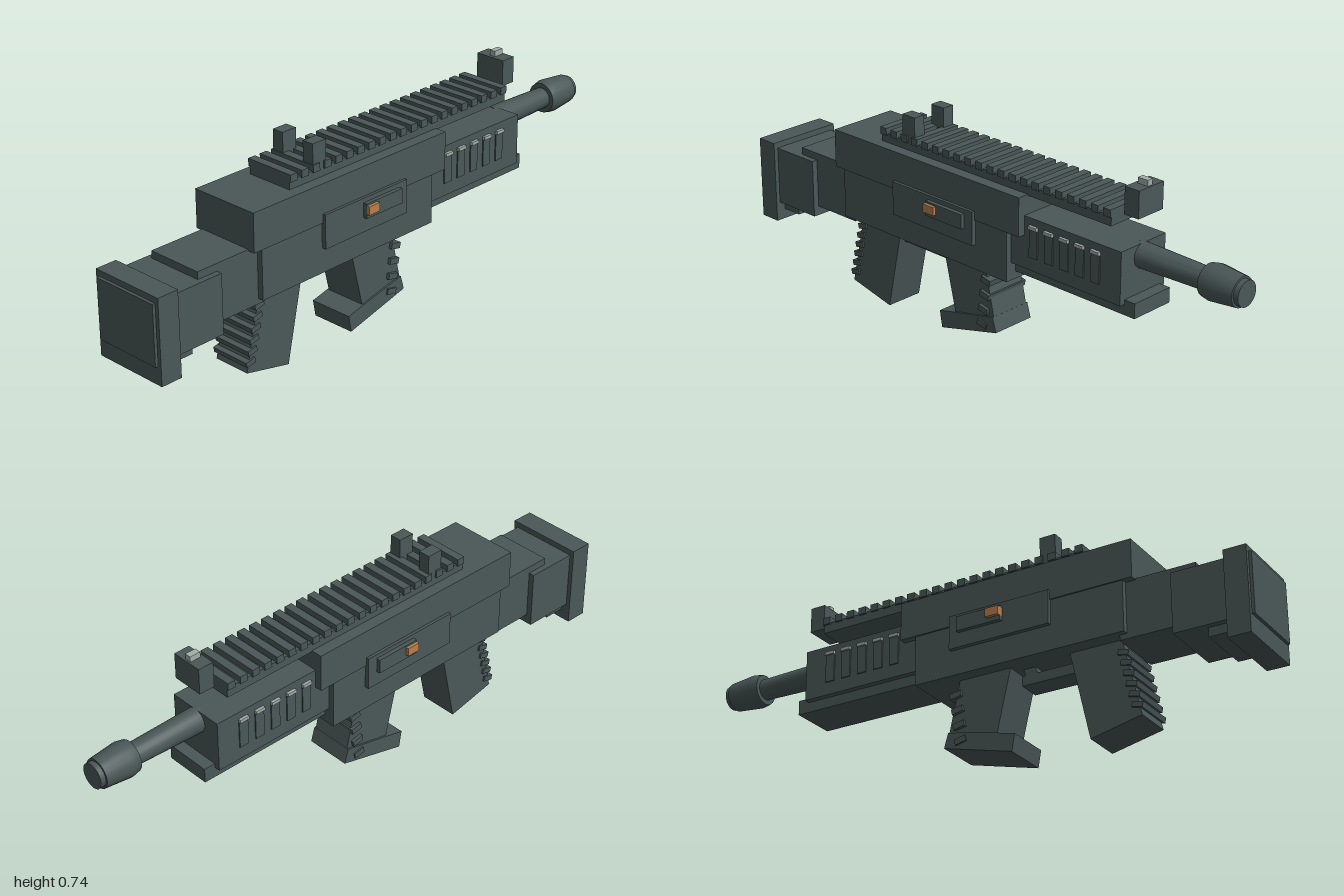
import * as THREE from 'three';
import { toCreasedNormals } from 'three/addons/utils/BufferGeometryUtils.js';

export function createModel() {
  const model = new THREE.Group();
  const material = (name, color) => {
    const m = new THREE.MeshStandardMaterial({ color });
    m.name = name;
    return m;
  };
  const gunmetal = material('gunmetal', 0x4a5757);
  const steel = material('pale steel', 0xa3aeaa);
  const copper = material('copper', 0xb97f4c);

  const add = (name, geometry, mat = gunmetal) => {
    const mesh = new THREE.Mesh(geometry, mat);
    mesh.name = name;
    model.add(mesh);
    return mesh;
  };
  // Box given by its extents
  const box = (name, x0, x1, y0, y1, z0, z1, mat) => {
    const mesh = add(name, new THREE.BoxGeometry(x1 - x0, y1 - y0, z1 - z0), mat);
    mesh.position.set((x0 + x1) / 2, (y0 + y1) / 2, (z0 + z1) / 2);
    return mesh;
  };
  // Box centred on the middle plane
  const slab = (name, half, y0, y1, z0, z1, mat) => box(name, -half, half, y0, y1, z0, z1, mat);
  // Side outline of [z, y] points, extruded across the width
  const profile = (name, half, points) => {
    const shape = new THREE.Shape(points.map(([z, y]) => new THREE.Vector2(-z, y)));
    const g = new THREE.ExtrudeGeometry(shape, { depth: half * 2, bevelEnabled: false });
    g.translate(0, 0, -half).rotateY(Math.PI / 2);
    return add(name, g);
  };

  // Stock
  slab('buttPad', 0.135, 0.19, 0.475, 0.915, 0.99);
  slab('buttPlate', 0.122, 0.252, 0.455, 0.985, 1.0);
  slab('stockBlock', 0.12, 0.255, 0.455, 0.735, 0.92);
  slab('stockStep', 0.1, 0.225, 0.26, 0.84, 0.92);
  slab('stockNeck', 0.1, 0.287, 0.48, 0.55, 0.81);

  // Receiver and handguard
  slab('upperReceiver', 0.125, 0.475, 0.605, -0.225, 0.61);
  slab('lowerReceiver', 0.12, 0.305, 0.475, -0.17, 0.575);
  slab('handguard', 0.1, 0.365, 0.54, -0.615, -0.16);
  slab('handguardStrip', 0.08, 0.33, 0.38, -0.655, -0.16);

  // Side plates, bolts and vents on both sides
  slab('sidePlate', 0.135, 0.39, 0.505, -0.035, 0.325);
  slab('boltCover', 0.149, 0.44, 0.49, 0.0, 0.16);
  slab('boltLatch', 0.16, 0.455, 0.484, 0.113, 0.16, copper);
  for (let i = 0; i < 5; i++) {
    const z = -0.265 - i * 0.063;
    slab('vent', 0.104, 0.41, 0.505, z - 0.017, z + 0.017);
    slab('ventCap', 0.11, 0.505, 0.516, z - 0.017, z + 0.017, steel);
  }

  // Top rail
  slab('railBase', 0.085, 0.601, 0.635, -0.56, 0.425);
  for (let i = 0; i < 21; i++) {
    const z = 0.411 - i * 0.0479;
    slab('railTooth', 0.091, 0.63, 0.655, z - 0.014, z + 0.014);
  }

  // Sights
  for (const s of [-1, 1]) {
    box('rearSightPost', s * 0.064 - 0.021, s * 0.064 + 0.021, 0.635, 0.722, 0.27, 0.326);
  }
  slab('frontSight', 0.055, 0.637, 0.726, -0.638, -0.583);
  slab('frontSightTip', 0.011, 0.726, 0.745, -0.632, -0.594, steel);

  // Barrel and muzzle
  const barrelProfile = [
    [0, 0.6], [0.042, 0.6], [0.036, 0.86], [0.052, 0.86], [0.058, 0.89],
    [0.049, 0.983], [0.042, 0.983], [0.042, 1.0], [0, 1.0],
  ].map(([r, y]) => new THREE.Vector2(r, y));
  const barrel = new THREE.LatheGeometry(barrelProfile, 20).rotateX(-Math.PI / 2);
  add('barrel', toCreasedNormals(barrel, 0.5)).position.y = 0.5;

  // Pistol grip with ridges down its rear edge
  profile('pistolGrip', 0.068, [[0.54, 0.31], [0.6, 0.047], [0.425, 0.008], [0.36, 0.31]]);
  for (let i = 0; i < 6; i++) {
    const y = 0.262 - i * 0.036;
    const ridge = slab('gripRidge', 0.074, y - 0.009, y + 0.009, 0.53, 0.567);
    ridge.position.z = 0.546 + (0.262 - y) * 0.228;
    ridge.rotation.x = 0.22;
  }

  // Trigger guard
  slab('triggerGuard', 0.04, 0.25, 0.284, 0.175, 0.455);
  profile('triggerGuardPost', 0.04, [[0.235, 0.27], [0.19, 0.27], [0.18, 0.31], [0.222, 0.31]]);

  // Forward magazine with a hooked foot
  profile('magazine', 0.074, [[0.155, 0.31], [0.1, 0.08], [-0.075, 0.11], [-0.03, 0.31]]);
  profile('magazineFoot', 0.08, [[0.17, 0.08], [0.1, 0.097], [-0.07, 0.135], [-0.085, 0.085], [0.16, 0.022]]);
  for (let i = 0; i < 4; i++) {
    const y = 0.255 - i * 0.052;
    const rib = slab('magazineRib', 0.085, y - 0.01, y + 0.01, -0.065, -0.025);
    rib.position.z = -0.042 + i * 0.006;
    rib.rotation.x = -0.22;
  }

  return model;
}
